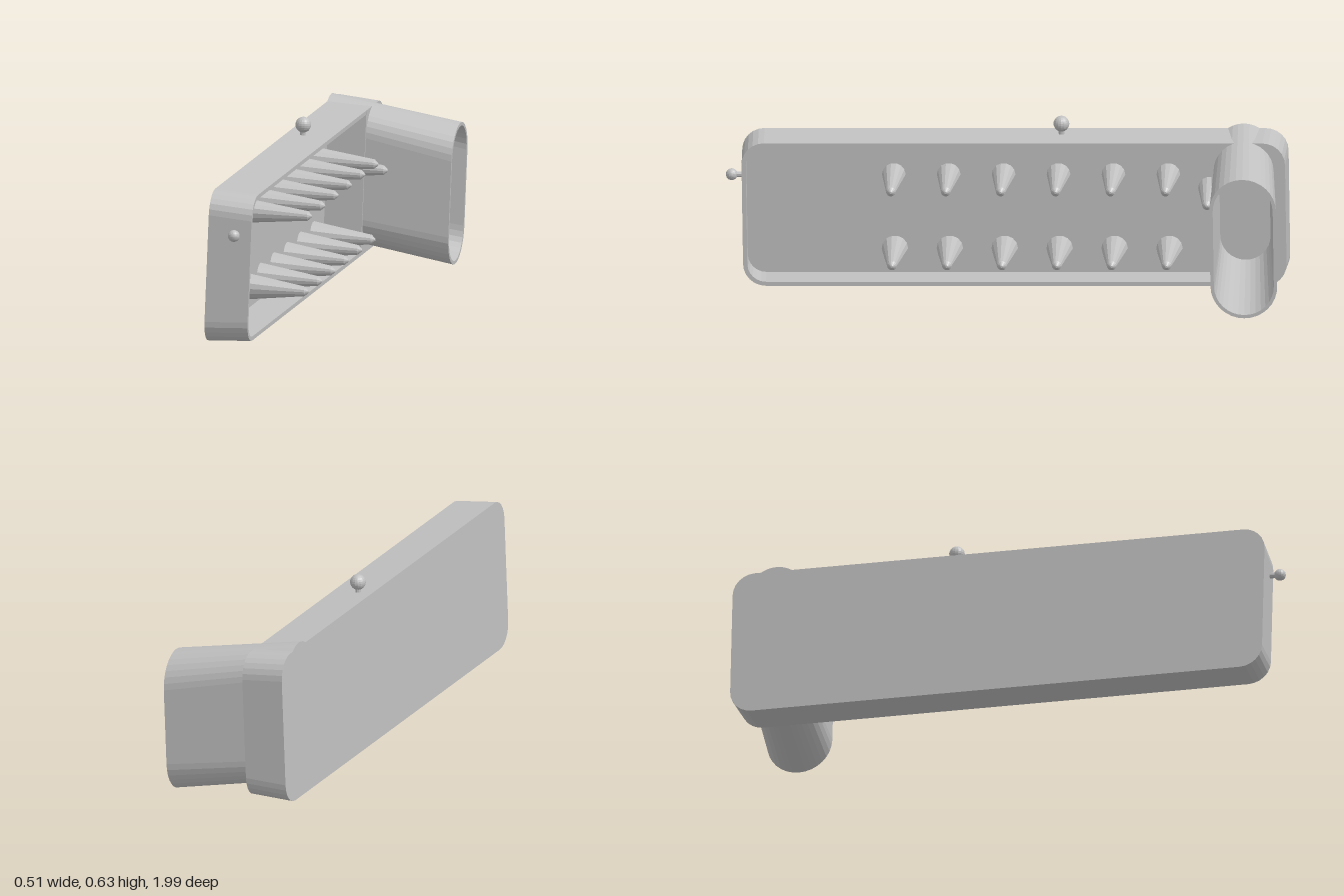
import * as THREE from 'three';

const grey = new THREE.MeshStandardMaterial({ color: 0xc0c0c0 });
grey.name = 'plain grey';

// Rounded-rectangle loop in the plane x, size h (y) by w (z), corner radius r
function ring(x, cy, cz, h, w, r, n = 6) {
  const pts = [];
  for (let q = 0; q < 4; q++) {
    const sz = q === 0 || q === 3 ? 1 : -1;
    const sy = q < 2 ? 1 : -1;
    for (let i = 0; i <= n; i++) {
      const a = (q + i / n) * Math.PI / 2;
      pts.push([x, cy + sy * (h / 2 - r) + r * Math.sin(a), cz + sz * (w / 2 - r) + r * Math.cos(a)]);
    }
  }
  return pts;
}

// Faceted skin through successive loops
function loft(rings) {
  const pos = [];
  for (let k = 0; k < rings.length - 1; k++) {
    const a = rings[k], b = rings[k + 1];
    for (let i = 0; i < a.length; i++) {
      const j = (i + 1) % a.length;
      pos.push(...a[i], ...b[i], ...a[j], ...a[j], ...b[i], ...b[j]);
    }
  }
  const g = new THREE.BufferGeometry();
  g.setAttribute('position', new THREE.Float32BufferAttribute(pos, 3));
  g.computeVertexNormals();
  return g;
}

function faceted(geometry) {
  const g = geometry.index ? geometry.toNonIndexed() : geometry;
  g.computeVertexNormals();
  return g;
}

export function createModel() {
  const model = new THREE.Group();
  const body = new THREE.Group();
  body.name = 'tiltedBody';
  body.position.set(-0.137, 0.3, -0.008);
  body.rotation.set(0.0128, 0.109, -0.045);
  model.add(body);

  const add = (name, geometry, x = 0, y = 0, z = 0) => {
    const m = new THREE.Mesh(geometry, grey);
    m.name = name;
    m.position.set(x, y, z);
    body.add(m);
    return m;
  };

  // Shallow tray, open towards +x, slightly narrower at the rim
  const floor = 0.018, rim = 0.155;
  add('tray', loft([
    ring(0, 0, 0, 0, 0, 0),
    ring(0, 0, 0, 0.545, 1.93, 0.08),
    ring(rim, 0, 0, 0.525, 1.92, 0.08),
    ring(rim, 0, 0, 0.495, 1.89, 0.065),
    ring(floor, 0, 0, 0.505, 1.9, 0.065),
    ring(floor, 0, 0, 0, 0, 0),
  ]));

  // Oblique oval spout, open at its outer end
  const spoutRing = (t, inset) => {
    const w = 0.2 + 0.036 * t - 2 * inset;
    const h = 0.505 + 0.005 * t - 2 * inset;
    return ring(0.469 * t, 0.037 - 0.069 * t, -0.808 - 0.017 * t, h, w, w / 2, 8);
  };
  const point = (x) => ring(x, 0.037, -0.808, 0, 0, 0, 8);
  add('spout', loft([
    point(0), spoutRing(0, 0), spoutRing(1, 0),
    spoutRing(1, 0.012), spoutRing(0.043, 0.012), point(0.02),
  ]));

  // Cover plate closing the tray around the spout
  const plate = new THREE.Shape();
  plate.moveTo(0.7, -0.262);
  plate.lineTo(0.88, -0.262);
  plate.absarc(0.88, -0.184, 0.078, -Math.PI / 2, 0);
  plate.absarc(0.88, 0.184, 0.078, 0, Math.PI / 2);
  plate.lineTo(0.7, 0.262);
  const hole = new THREE.Path();
  hole.absarc(0.814, 0.16, 0.098, 0, Math.PI);
  hole.absarc(0.814, -0.132, 0.098, Math.PI, 2 * Math.PI);
  plate.holes.push(hole);
  const plateGeometry = new THREE.ExtrudeGeometry(plate, { depth: 0.012, bevelEnabled: false, curveSegments: 10 });
  plateGeometry.rotateY(Math.PI / 2);
  add('coverPlate', plateGeometry, 0.1435);

  // Wall between the tray cavity and the spout end
  add('partition', new THREE.BoxGeometry(0.136, 0.515, 0.008), 0.083, 0, -0.704);

  // Tapered pegs standing on the tray floor
  const addPeg = (y, z, r) => {
    const g = new THREE.LatheGeometry([
      new THREE.Vector2(r, 0), new THREE.Vector2(0.017, 0.214),
      new THREE.Vector2(0.004, 0.228), new THREE.Vector2(0, 0.228),
    ], 14);
    g.rotateZ(-Math.PI / 2);
    add('peg', faceted(g), floor - 0.001, y, z);
  };
  for (let i = 0; i < 6; i++) {
    addPeg(0.107, 0.43 - 0.194 * i, 0.042);
    addPeg(-0.165, 0.43 - 0.194 * i, 0.047);
  }
  addPeg(0.057, -0.686, 0.042);

  // Ball knobs on the top edge and the front end
  add('topBall', faceted(new THREE.SphereGeometry(0.028, 16, 12)), 0.057, 0.306, -0.167);
  add('topBallStem', faceted(new THREE.CylinderGeometry(0.01, 0.01, 0.04, 10)), 0.057, 0.282, -0.167);
  add('frontBall', faceted(new THREE.SphereGeometry(0.021, 16, 12)), 0.102, 0.133, 0.998);
  const stem = new THREE.CylinderGeometry(0.01, 0.01, 0.045, 10).rotateX(Math.PI / 2);
  add('frontBallStem', faceted(stem), 0.102, 0.133, 0.975);

  return model;
}
